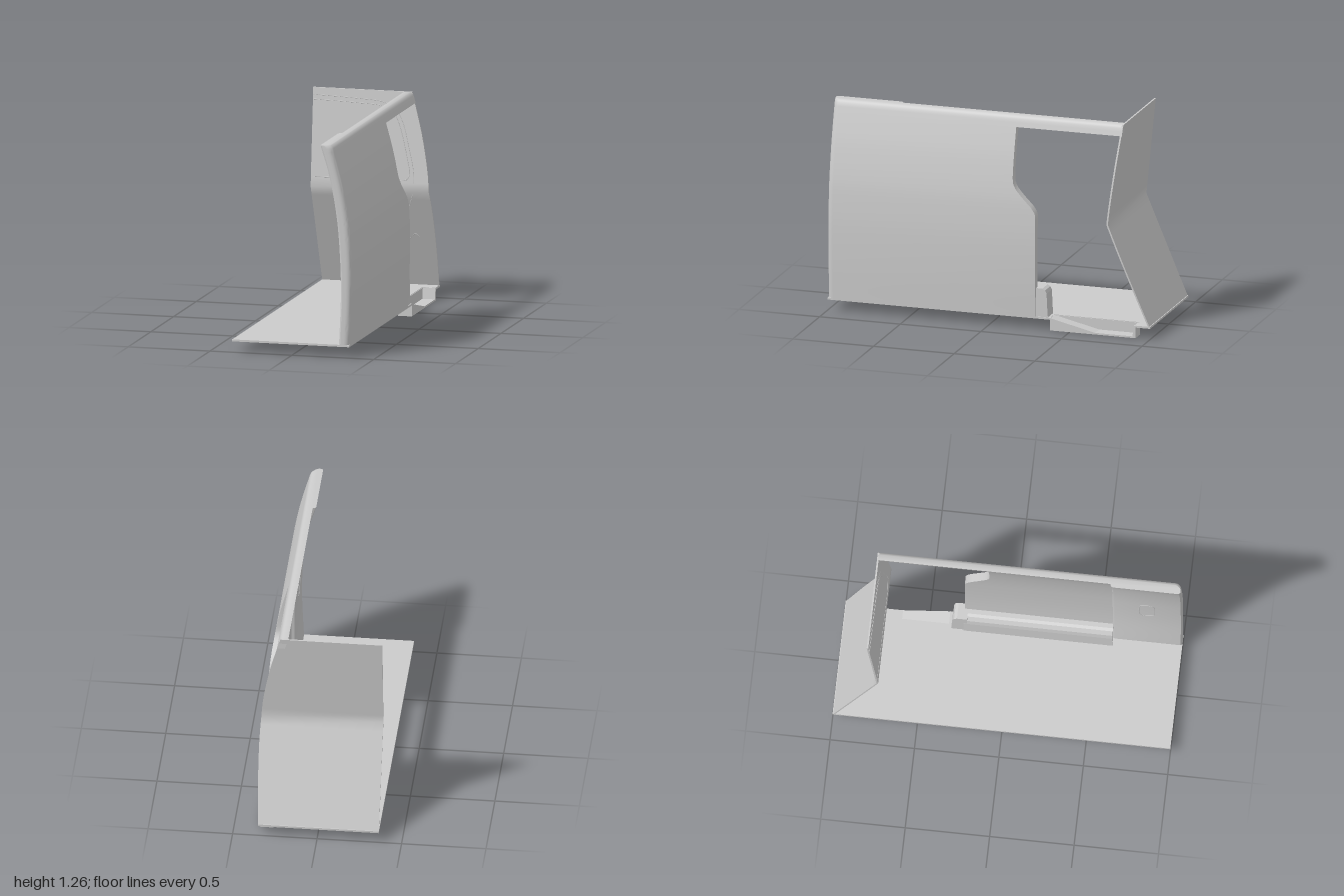
import * as THREE from 'three';
import { toCreasedNormals } from 'three/addons/utils/BufferGeometryUtils.js';

const material = new THREE.MeshStandardMaterial({ color: 0xcccccc });

// Smooth lookup through [y, value] pairs
function sampler(pairs, smooth = true) {
  return y => {
    const n = pairs.length;
    if (y <= pairs[0][0]) return pairs[0][1];
    if (y >= pairs[n - 1][0]) return pairs[n - 1][1];
    let i = 0;
    while (pairs[i + 1][0] < y) i++;
    const [a, va] = pairs[i], [b, vb] = pairs[i + 1], t = (y - a) / (b - a);
    if (!smooth) return va + (vb - va) * t;
    const slope = k => {
      const p = pairs[Math.max(k - 1, 0)], q = pairs[Math.min(k + 1, n - 1)];
      return (q[1] - p[1]) / (q[0] - p[0]) * (b - a);
    };
    const t2 = t * t, t3 = t2 * t;
    return (2 * t3 - 3 * t2 + 1) * va + (t3 - 2 * t2 + t) * slope(i)
      + (3 * t2 - 2 * t3) * vb + (t3 - t2) * slope(i + 1);
  };
}

const outerX = sampler([[0.065, 0.35], [0.28, 0.361], [0.5, 0.365], [0.65, 0.36], [0.8, 0.347],
  [1, 0.311], [1.15, 0.273], [1.265, 0.24]]);
const innerX = sampler([[0.065, 0.285], [0.4, 0.297], [0.7, 0.285], [0.9, 0.262], [1.1, 0.222], [1.265, 0.172]]);
const openingZ = sampler([[0.69, -0.29], [0.71, -0.283], [0.74, -0.262], [0.8, -0.2], [0.84, -0.163],
  [0.87, -0.146], [0.91, -0.14]], false);
const backZ = sampler([[0.065, -1], [0.68, -0.74], [1.265, -0.798]], false);

// Skin stacked horizontal rings of [x, z] points, counter-clockwise from above
function loft(heights, ringAt) {
  const rings = heights.map(ringAt), n = rings[0].length, pos = [], index = [];
  rings.forEach((r, i) => r.forEach(([x, z]) => pos.push(x, heights[i], z)));
  for (let i = 0; i < rings.length - 1; i++) {
    for (let j = 0; j < n; j++) {
      const a = i * n + j, b = i * n + (j + 1) % n;
      index.push(a, b, b + n, a, b + n, a + n);
    }
  }
  const cap = (r, base, flip) => {
    const outline = r.map(([x, z]) => new THREE.Vector2(x, -z));
    for (const [a, b, c] of THREE.ShapeUtils.triangulateShape(outline, [])) {
      index.push(base + a, base + (flip ? c : b), base + (flip ? b : c));
    }
  };
  cap(rings[0], 0, true);
  cap(rings[rings.length - 1], (rings.length - 1) * n, false);
  const g = new THREE.BufferGeometry();
  g.setAttribute('position', new THREE.Float32BufferAttribute(pos, 3));
  g.setIndex(index);
  return toCreasedNormals(g, 0.6);
}

const toShape = pts => new THREE.Shape(pts.map(p => new THREE.Vector2(...p)));
const extrude = (pts, depth) => new THREE.ExtrudeGeometry(toShape(pts), { depth, bevelEnabled: false });

export function createModel() {
  const model = new THREE.Group();
  const add = (name, geometry) => {
    const mesh = new THREE.Mesh(geometry, material);
    mesh.name = name;
    model.add(mesh);
    return mesh;
  };

  // Floor plate with a notch at the doorway
  const floor = extrude([[-0.365, -1], [0.35, -1], [0.35, 0.38], [0.27, 0.38], [0.27, 0.91],
    [0.35, 0.91], [0.35, 1], [-0.365, 1]], 0.012);
  floor.rotateX(-Math.PI / 2).translate(0, 0.065, 0);
  add('floor', floor);

  // Curved side wall: rounded front edge, thicker front frame, doorway cut, roof rail above
  const heights = [];
  for (let i = 0; i <= 22; i++) heights.push(0.065 + i * 0.0284);
  for (let y = 0.71; y < 0.92; y += 0.015) heights.push(y);
  heights.push(0.96, 1, 1.04, 1.08, 1.12, 1.16, 1.199, 1.2, 1.225, 1.245, 1.256, 1.262, 1.265);
  add('sideWall', loft(heights, y => {
    const round = y > 1.245 ? 0.014 * ((y - 1.245) / 0.02) ** 2 : 0;
    const o = outerX(y) - round, f = innerX(y), m = f + 0.02;
    const rear = y >= 1.2 ? -0.795 : openingZ(y);
    const ring = [[f, 0.99], [f + 0.01, 1]];
    for (let k = 0; k <= 6; k++) {
      const a = k / 6 * Math.PI / 2;
      ring.push([o - 0.035 + 0.035 * Math.sin(a), 0.965 + 0.035 * Math.cos(a)]);
    }
    ring.push([o, rear], [m, rear], [m, 0.585], [f + 0.004, 0.59], [f, 0.6]);
    return ring;
  }));

  // Bent back wall following the side wall outline
  const backHeights = [];
  for (let i = 0; i <= 12; i++) backHeights.push(0.068 + i * 0.051);
  for (let i = 1; i <= 12; i++) backHeights.push(0.68 + i * 0.04875);
  add('backWall', loft(backHeights, y => {
    const z = backZ(y), x = outerX(y) - 0.002;
    return [[-0.365, z + 0.01], [x, z + 0.01], [x, z], [-0.365, z]];
  }));

  // Fine seams on the inside of the back wall
  const seam = (name, pts, corner = true) => {
    const on = ([x, y]) => new THREE.Vector3(x, y, backZ(y) + 0.01);
    const path = new THREE.CatmullRomCurve3(pts.map(on), false, corner ? 'centripetal' : 'catmullrom');
    add(name, new THREE.TubeGeometry(path, 70, 0.0022, 5));
  };
  seam('windowSeam', [[-0.362, 0.74], [0, 0.74], [0.19, 0.74], [0.225, 0.752], [0.237, 0.785], [0.225, 0.85],
    [0.17, 1.06], [0.135, 1.13], [0.07, 1.172], [-0.1, 1.187], [-0.362, 1.195]]);
  seam('panelSeam', [[-0.362, 1.223], [-0.1, 1.213], [0.06, 1.2], [0.14, 1.165], [0.185, 1.09], [0.225, 0.95],
    [0.262, 0.78], [0.255, 0.66], [0.22, 0.57], [0.1, 0.36], [0.01, 0.255], [-0.09, 0.195], [-0.2, 0.18]]);
  seam('braceSeam', [[0.115, 0.183], [0.105, 0.203], [0.16, 0.295], [0.22, 0.39], [0.245, 0.406], [0.265, 0.39]]);

  // Low fairing along the inside foot of the wall
  const fairing = extrude([[0.238, 0.07], [0.32, 0.07], [0.32, 0.25], [0.285, 0.25], [0.268, 0.242],
    [0.25, 0.215], [0.244, 0.18]], 0.88);
  fairing.translate(0, 0, -0.29);
  add('wallFairing', fairing);

  // Shapes given as [-z, y], extruded across x
  const across = (name, pts, x, width) => {
    const g = extrude(pts, width);
    g.rotateY(Math.PI / 2).translate(x, 0, 0);
    add(name, g);
  };
  // Rounded foot of the door post
  across('doorPostFoot', [[0.27, 0.07], [0.365, 0.07], [0.362, 0.1], [0.356, 0.22], [0.347, 0.24],
    [0.33, 0.25], [0.27, 0.25]], 0.245, 0.1);

  // Entry step: ramp down to a low tread, with its inner riser
  across('entryStep', [[0.38, 0], [0.91, 0], [0.91, 0.075], [0.9, 0.075], [0.89, 0.01], [0.66, 0.01],
    [0.38, 0.075]], 0.27, 0.08);
  const riser = new THREE.BoxGeometry(0.006, 0.074, 0.53);
  add('stepRiser', riser).position.set(0.27, 0.037, -0.645);

  // Rounded outline of a small panel on the front frame
  const outline = [];
  for (let k = 0; k < 24; k++) {
    const a = k / 24 * Math.PI * 2;
    const y = 0.6 + Math.sin(a) * 0.04 + (k < 12 ? 0.06 : -0.06);
    outline.push(new THREE.Vector3(innerX(y), y, 0.79 + Math.cos(a) * 0.045));
  }
  add('framePanel', new THREE.TubeGeometry(new THREE.CatmullRomCurve3(outline, true), 60, 0.003, 5, true));

  return model;
}
